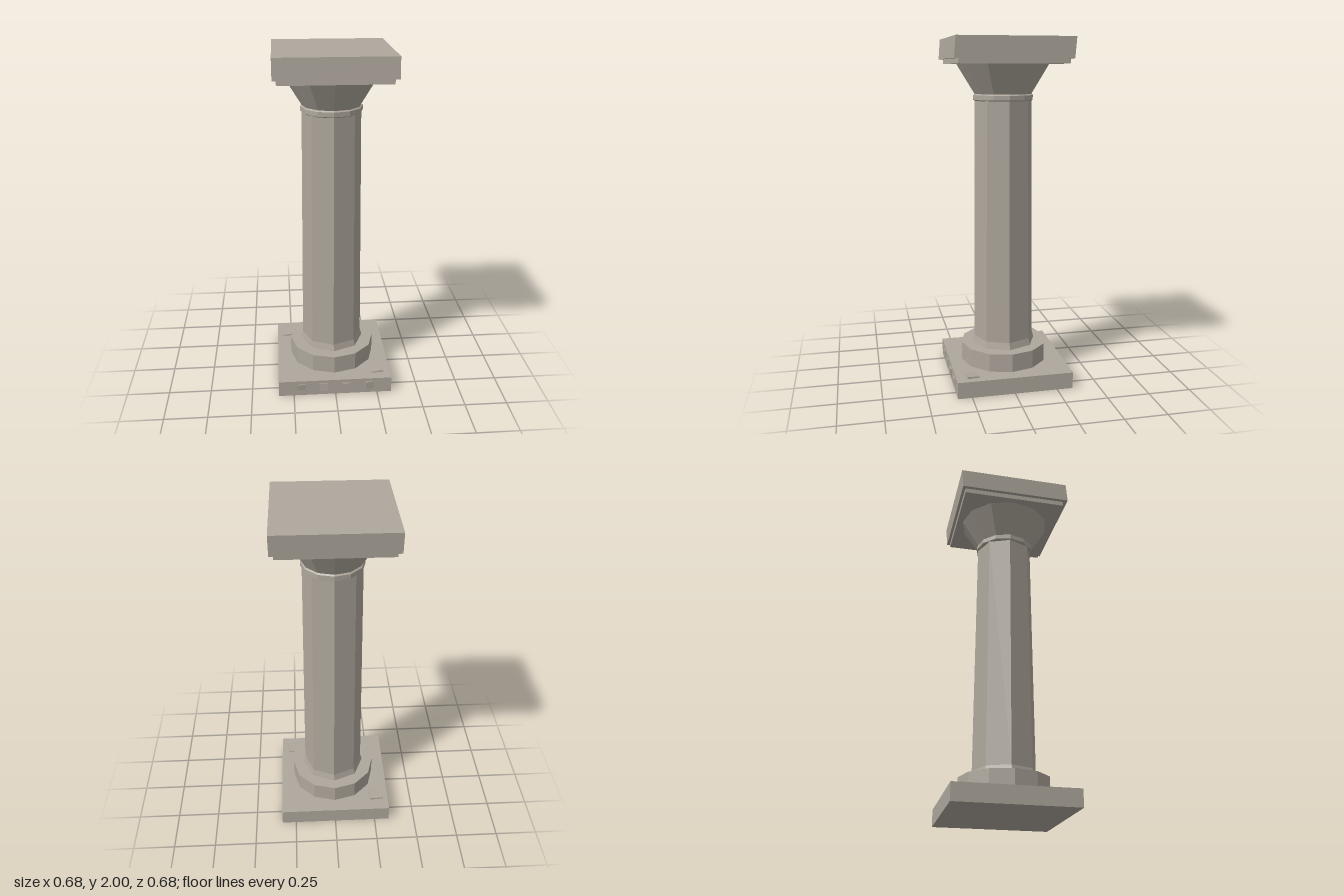
import * as THREE from 'three';

export function createModel() {
  const column = new THREE.Group();
  column.name = 'column';
  const stone = new THREE.MeshStandardMaterial({ color: 0xaea79c, flatShading: true });
  stone.name = 'stone';

  const add = (name, geometry, x = 0, y = 0, z = 0) => {
    const mesh = new THREE.Mesh(geometry, stone);
    mesh.name = name;
    mesh.position.set(x, y, z);
    column.add(mesh);
    return mesh;
  };

  // Faceted turned part from [radius, height] pairs, closed at both ends
  const turned = (name, sides, profile) => {
    const points = [[0, profile[0][1]], ...profile, [0, profile.at(-1)[1]]];
    return add(name, new THREE.LatheGeometry(points.map(([r, y]) => new THREE.Vector2(r, y)), sides));
  };

  // Square slab leaning slightly to the back
  const leaningSlab = (name, width, bottom, top, z) => {
    const geometry = new THREE.BoxGeometry(width, top - bottom, width);
    geometry.applyMatrix4(new THREE.Matrix4().makeShear(0, 0, 0, -0.08, 0, 0));
    const p = geometry.attributes.position;
    // Keep the faces horizontal and only shift z with height
    const box = new THREE.BoxGeometry(width, top - bottom, width).attributes.position;
    for (let i = 0; i < p.count; i++) {
      p.setXYZ(i, box.getX(i), box.getY(i), box.getZ(i) - 0.08 * box.getY(i));
    }
    geometry.computeVertexNormals();
    return add(name, geometry, 0, (bottom + top) / 2, z);
  };

  // Foot
  add('plinth', new THREE.BoxGeometry(0.676, 0.097, 0.676), -0.002, 0.0485, -0.005);
  turned('baseDrum', 12, [[0.257, 0.095], [0.257, 0.205]]);

  // Tapered eight-sided shaft with a flared foot
  turned('shaft', 8, [[0.192, 0.2], [0.18, 0.245], [0.167, 1.66]]);

  // Capital
  turned('neckRing', 12, [[0.165, 1.652], [0.175, 1.658], [0.175, 1.684], [0.165, 1.692]]);
  turned('echinus', 12, [[0.165, 1.688], [0.27, 1.858]]);
  leaningSlab('abacusStep', 0.608, 1.857, 1.886, -0.001);
  leaningSlab('abacus', 0.65, 1.885, 2, -0.002);

  // Small raised chips along the front of the plinth: x, yaw, pitch, z
  const chips = [
    [-0.205, 0, 0.12, 0.3245],
    [-0.07, -0.15, 0, 0.3275],
    [0.065, 0, 0, 0.331],
    [0.205, -0.12, 0.06, 0.327],
  ];
  chips.forEach(([x, yaw, pitch, z], i) => {
    const chip = add(`frontChip${i + 1}`, new THREE.BoxGeometry(0.05, 0.05, 0.02), x, 0.05, z);
    chip.rotation.set(pitch, i === 3 ? -yaw * -1 + 0.24 : yaw, 0);
  });

  // Loose tilted chips on top of the plinth
  const frontShard = add('frontShard', new THREE.BoxGeometry(0.075, 0.014, 0.07), 0.255, 0.096, 0.238);
  frontShard.rotation.set(-0.08, 0.1, 0.1);
  const backShard = add('backShard', new THREE.BoxGeometry(0.085, 0.014, 0.075), -0.265, 0.099, -0.225);
  backShard.rotation.set(0.03, 0.08, 0.03);

  return column;
}
